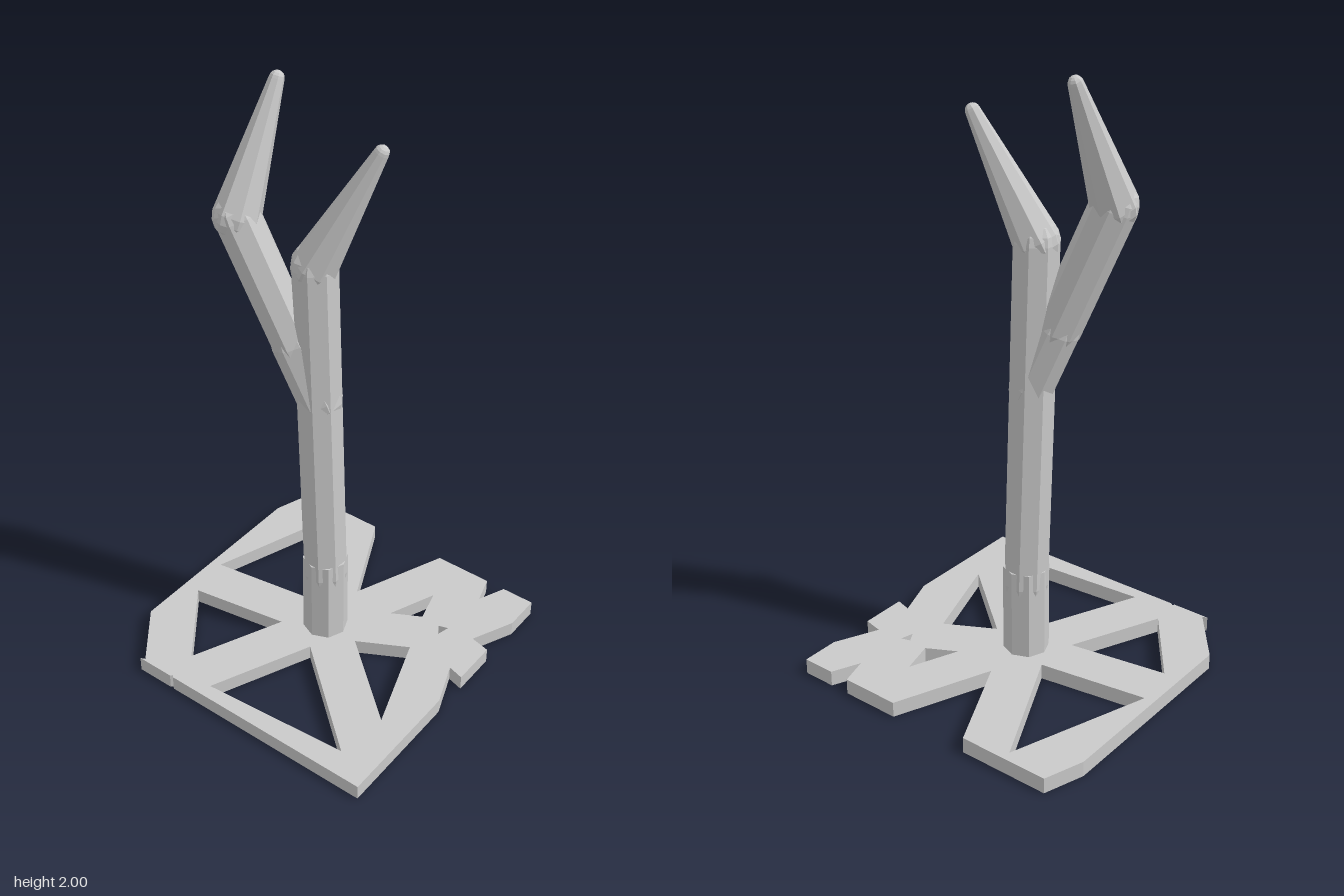
import * as THREE from 'three';

export function createModel() {
  const group = new THREE.Group();
  const grey = new THREE.MeshStandardMaterial({ color: 0xcacaca, flatShading: true });
  grey.name = 'plain grey';

  const add = (name, geometry) => {
    const mesh = new THREE.Mesh(geometry, grey);
    mesh.name = name;
    group.add(mesh);
    return mesh;
  };

  // Base plate: flat bracing with cut-outs, drawn as [x, z]
  const toPoints = (list) => list.map(([x, z]) => new THREE.Vector2(x, -z));
  const plate = new THREE.Shape(toPoints([
    [-0.515, 0.325], [-0.374, 0.505], [-0.39, 0.512], [-0.257, 0.512],
    [-0.25, 0.505], [-0.244, 0.512], [0.514, 0.512], [0.514, 0.065],
    [0.46, -0.08], [0.514, -0.065], [0.514, -0.225], [0.447, -0.24],
    [0.514, -0.387], [0.514, -0.515], [0.4, -0.515], [0.358, -0.42],
    [0.33, -0.515], [0.128, -0.515], [-0.005, -0.19], [-0.16, -0.515],
    [-0.47, -0.515], [-0.515, -0.38],
  ]));
  const holes = [
    [[-0.315, -0.483], [-0.113, -0.062], [-0.48, -0.006]],
    [[-0.455, 0.145], [-0.122, 0.09], [-0.26, 0.402]],
    [[0.03, 0.125], [0.388, 0.428], [-0.12, 0.467]],
    [[0.135, 0.012], [0.3, -0.077], [0.413, 0.247]],
    [[0.22, -0.338], [0.25, -0.225], [0.152, -0.172]],
    [[0.32, -0.222], [0.352, -0.232], [0.34, -0.187]],
  ];
  holes.forEach((h) => plate.holes.push(new THREE.Path(toPoints(h))));
  const plateGeometry = new THREE.ExtrudeGeometry(plate, { depth: 0.053, bevelEnabled: false });
  plateGeometry.rotateX(-Math.PI / 2);
  add('basePlate', plateGeometry);

  // Collar standing on the plate
  const collar = new THREE.CylinderGeometry(0.076, 0.076, 0.35, 8);
  add('collar', collar).position.y = 0.185;

  // Eight-sided tapering limb with rounded ends, running between two points
  const up = new THREE.Vector3(0, 1, 0);
  const limb = (name, from, to, r0, r1, twist) => {
    const start = new THREE.Vector3(...from);
    const dir = new THREE.Vector3(...to).sub(start);
    const length = dir.length();
    const profile = [];
    for (let i = -4; i <= 0; i++) {
      const a = (i * Math.PI) / 8;
      profile.push(new THREE.Vector2(r0 * Math.cos(a), r0 * Math.sin(a)));
    }
    for (let i = 0; i <= 4; i++) {
      const a = (i * Math.PI) / 8;
      profile.push(new THREE.Vector2(r1 * Math.cos(a), length + r1 * Math.sin(a)));
    }
    const geometry = new THREE.LatheGeometry(profile, 8);
    geometry.rotateY(twist);
    const mesh = add(name, geometry);
    mesh.position.copy(start);
    mesh.quaternion.setFromUnitVectors(up, dir.normalize());
  };

  const trunkTop = [-0.028, 1.47, 0.014];
  const trunkTip = [0.143, 1.85, -0.067];
  const fork = [-0.014, 1.0, 0.008];
  const branchMiddle = [-0.091, 1.2, 0.039];
  const elbow = [-0.245, 1.6, 0.1];
  const branchTip = [-0.216, 1.977, -0.058];

  // Trunk and its pointed upper end
  limb('trunk', [0, 0.3, 0], trunkTop, 0.075, 0.074, 0.35);
  limb('trunkPoint', trunkTop, trunkTip, 0.074, 0.023, 0.1);

  // Side branch in two lengths, and its pointed end
  limb('lowerBranch', fork, branchMiddle, 0.073, 0.073, 0.2);
  limb('upperBranch', branchMiddle, elbow, 0.073, 0.073, 0.4);
  limb('branchPoint', elbow, branchTip, 0.074, 0.023, 0);

  return group;
}
